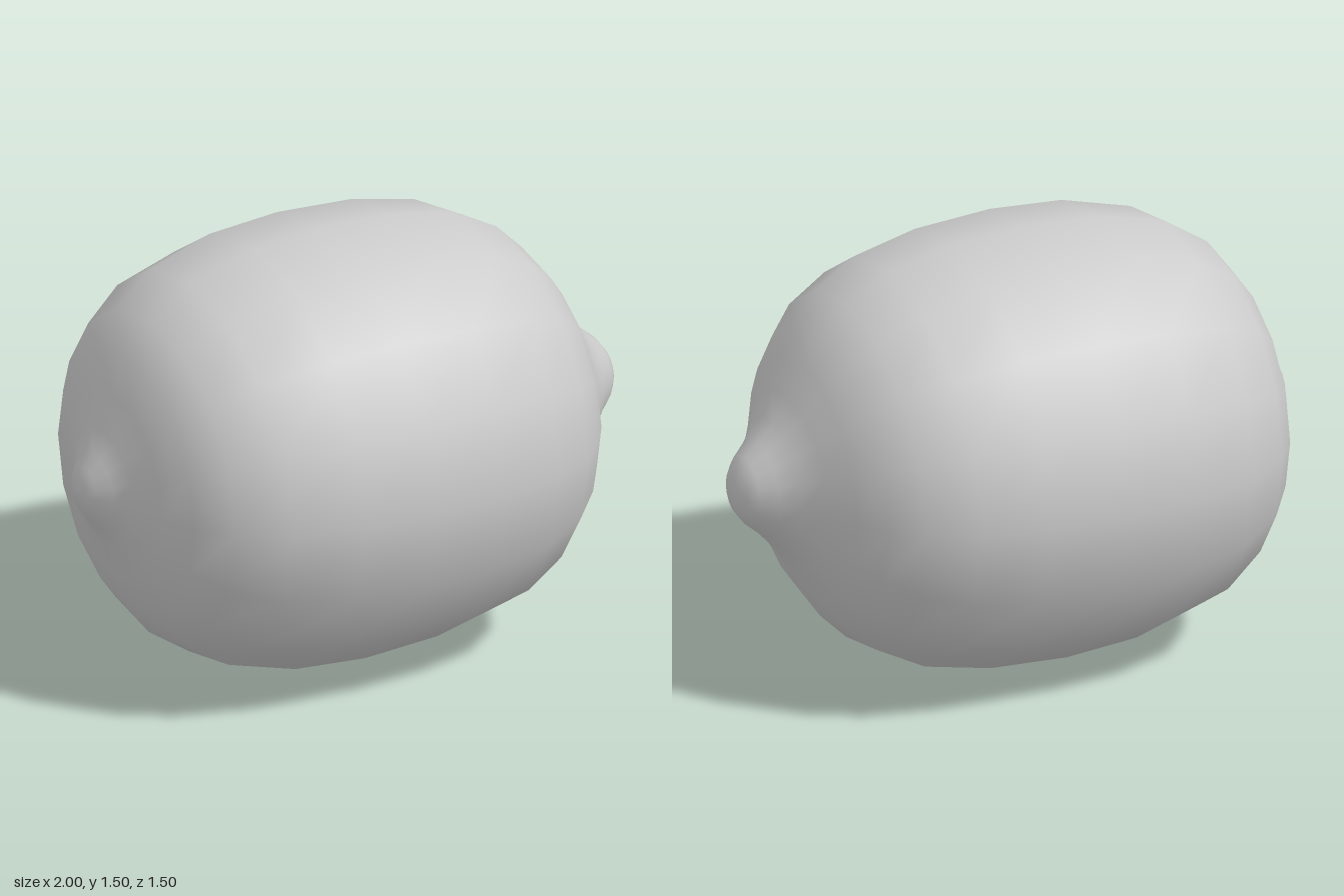
import * as THREE from 'three';

export function createModel() {
  const group = new THREE.Group();
  group.name = 'lemon';

  // Profile along the long axis: [position, radius], from blossom nub to stem tip
  const profile = [
    [-1, 0], [-0.996, 0.04], [-0.98, 0.085], [-0.945, 0.13], [-0.91, 0.2],
    [-0.87, 0.32], [-0.82, 0.445], [-0.735, 0.56], [-0.58, 0.665], [-0.34, 0.73],
    [-0.08, 0.748], [0.195, 0.733], [0.425, 0.685], [0.585, 0.6], [0.68, 0.505],
    [0.745, 0.41], [0.8, 0.305], [0.85, 0.225], [0.905, 0.163], [0.955, 0.12],
    [0.985, 0.08], [0.997, 0.04], [1, 0],
  ].map(([along, radius]) => new THREE.Vector2(radius, along));

  // Sixteen-sided smooth fruit body, laid on its side along x
  const geometry = new THREE.LatheGeometry(profile, 16);
  geometry.rotateZ(-Math.PI / 2);
  geometry.translate(0, 0.748, 0);

  const fruit = new THREE.Mesh(geometry, new THREE.MeshStandardMaterial({ color: 0xcccccc }));
  fruit.name = 'fruitBody';
  group.add(fruit);
  return group;
}
